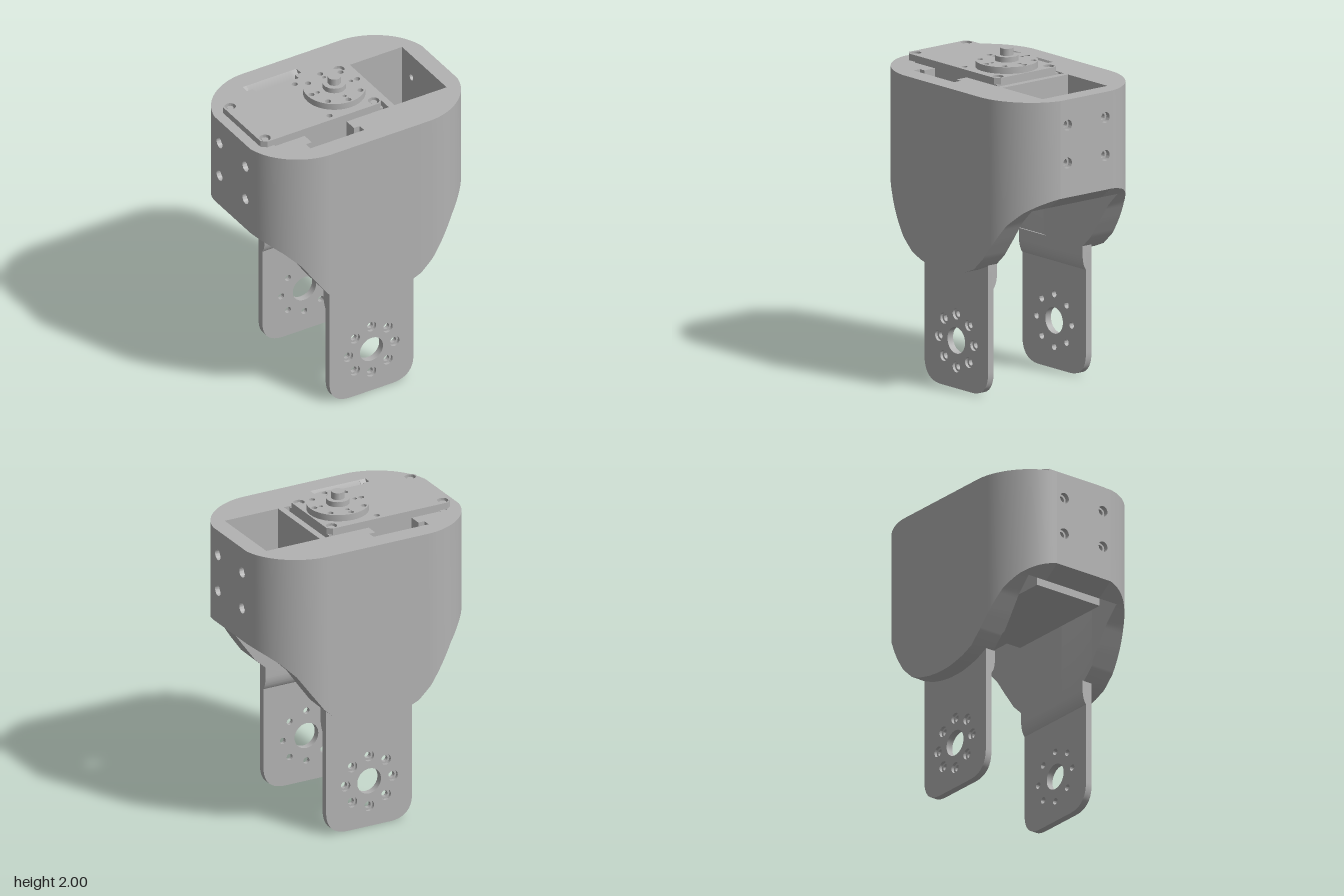
import * as THREE from 'three';
import { toCreasedNormals } from 'three/addons/utils/BufferGeometryUtils.js';

const TOP = 1.845, CEIL = 1.3, END = 0.715, INX = 0.61, INZ = 0.33;

// height of the swept lower edge of the housing at a given x
const CUT = [[0, .725], [.1, .733], [.2, .757], [.28, .79], [.36, .865], [.44, .975],
  [.52, 1.09], [.6, 1.17], [.66, 1.215], [.72, 1.255]];
function cut(x) {
  const a = Math.min(Math.abs(x), 0.72);
  let i = 0;
  while (i < CUT.length - 2 && a > CUT[i + 1][0]) i++;
  const [x0, y0] = CUT[i], [x1, y1] = CUT[i + 1];
  return y0 + (y1 - y0) * (a - x0) / (x1 - x0);
}

export function createModel() {
  const model = new THREE.Group();
  const grey = new THREE.MeshStandardMaterial({ color: 0xb2b2b2 });
  grey.name = 'grey';

  function add(name, geo, parent = model) {
    const m = new THREE.Mesh(geo, grey);
    m.name = name;
    parent.add(m);
    return m;
  }
  function box(name, x0, x1, y0, y1, z0, z1) {
    const m = add(name, new THREE.BoxGeometry(x1 - x0, y1 - y0, z1 - z0));
    m.position.set((x0 + x1) / 2, (y0 + y1) / 2, (z0 + z1) / 2);
  }
  function cylinder(name, r, y0, y1, x, z) {
    const m = add(name, toCreasedNormals(new THREE.CylinderGeometry(r, r, y1 - y0, 32), 0.6));
    m.position.set(x, (y0 + y1) / 2, z);
  }
  const hole = (shape, x, y, r) => shape.holes.push(new THREE.Path().absarc(x, y, r, 0, Math.PI * 2, true));
  const extrude = (shape, depth) => toCreasedNormals(
    new THREE.ExtrudeGeometry(shape, { depth, bevelEnabled: false, curveSegments: 20 }), 0.6);
  const ring = (n, r, f) => {
    for (let i = 0; i < n; i++) f(r * Math.cos(i * 2 * Math.PI / n), r * Math.sin(i * 2 * Math.PI / n));
  };

  // housing halves: cross-sections swept around the rounded outline
  const corner = new THREE.CubicBezierCurve(new THREE.Vector2(END, .2), new THREE.Vector2(.68, .38),
    new THREE.Vector2(.5, .5), new THREE.Vector2(.34, .5)).getPoints(24).map(p => [p.x, p.y]);
  const flat = [.28, .2, .12, .04, -.039, -.04, -.08, -.081, -.14, -.2, -.28, -.33, -.369, -.37, -.41, -.411];
  // outer z of the outline at x, used where the inner cable notch needs extra columns
  const outerZ = x => {
    const a = Math.abs(x);
    if (a <= 0.34) return 0.5;
    const i = corner.findIndex(p => p[0] <= a), [xa, za] = corner[i - 1], [xb, zb] = corner[i];
    return za + (zb - za) * (a - xa) / (xb - xa);
  };
  const outline = [...corner, ...flat.map(x => [x, outerZ(x)]),
    ...corner.map(([x, z]) => [-x, z])].sort((a, b) => b[0] - a[0]);

  function housingHalf(s) {
    const columns = outline.map(([x, z]) => {
      const xi = Math.max(-INX, Math.min(INX, x));
      const zi = Math.min(z, INZ);
      const zMid = x <= -.08 && x >= -.37 ? .34 : zi;
      const zTop = x <= -.04 && x >= -.41 ? .38 : zi;
      return [[x, TOP, z], [x, cut(x), z], [xi, cut(xi), zMid], [xi, 1.77, zMid], [xi, TOP, zTop]]
        .map(p => [p[0], p[1], s * p[2]]);
    });
    const pos = [];
    for (let i = 0; i < columns.length - 1; i++) {
      for (let k = 0; k < 5; k++) {
        const n = (k + 1) % 5;
        const q = [columns[i + 1][k], columns[i + 1][n], columns[i][n], columns[i][k]];
        if (s < 0) q.reverse();
        pos.push(...q[0], ...q[1], ...q[2], ...q[0], ...q[2], ...q[3]);
      }
    }
    const g = new THREE.BufferGeometry();
    g.setAttribute('position', new THREE.Float32BufferAttribute(pos, 3));
    g.computeVertexNormals();
    return toCreasedNormals(g, 0.5);
  }
  add('housingFront', housingHalf(1));
  add('housingBack', housingHalf(-1));

  // end walls with counterbored screw holes
  function endLayer(x0, x1, r) {
    const s = new THREE.Shape();
    s.moveTo(-.2, 1.2); s.lineTo(.2, 1.2); s.lineTo(.2, TOP); s.lineTo(-.2, TOP);
    for (const z of [-.145, .145]) for (const y of [1.46, 1.69]) hole(s, z, y, r);
    const g = extrude(s, x1 - x0).rotateY(Math.PI / 2).translate(x0, 0, 0);
    const p = g.attributes.position;
    for (let i = 0; i < p.count; i++) if (p.getY(i) < 1.3) p.setY(i, cut(p.getX(i)));
    return g;
  }
  for (const turn of [0, Math.PI]) {
    const wall = new THREE.Group();
    wall.name = turn ? 'rightEndWall' : 'leftEndWall';
    wall.rotation.y = turn;
    add('outerLayer', endLayer(.685, END, .033), wall);
    add('innerLayer', endLayer(INX, .685, .02), wall);
    model.add(wall);
  }

  // inner frame around the motor bay and the open pocket
  box('bayDivider', .21, .25, CEIL, TOP, -.25, .25);
  box('motorLedge', -INX, -.57, CEIL, 1.84, -.25, .25);
  for (const s of [-1, 1]) {
    const z0 = s > 0 ? .25 : -INZ, z1 = s > 0 ? INZ : -.25;
    box('frameRail', -INX, -.37, CEIL, TOP, z0, z1);
    box('frameRail', -.08, INX, CEIL, TOP, z0, z1);
  }

  // motor body and cover plate
  box('motorBody', -.57, .18, 1.155, 1.846, -.235, .235);
  const cover = new THREE.Shape([[-.62, -.238], [.155, -.238], [.183, -.21], [.183, .21], [.155, .238],
    [-.62, .238], [-.652, .21], [-.652, -.21]].map(p => new THREE.Vector2(...p)));
  for (const z of [-.195, .195]) {
    for (const x of [-.61, .14]) {
      hole(cover, x, z, .033);
      cylinder('coverScrew', .02, 1.84, 1.875, x, z);
    }
    hole(cover, -.165, z, .018);
  }
  add('motorCover', extrude(cover, .04).rotateX(-Math.PI / 2).translate(0, TOP, 0));

  // output disc, hub and shaft
  const disc = new THREE.Shape().absarc(0, 0, .185, 0, Math.PI * 2);
  ring(8, .158, (x, y) => hole(disc, x, y, .018));
  ring(4, .115, (x, y) => hole(disc, x, y, .013));
  add('outputDisc', extrude(disc, .04).rotateX(-Math.PI / 2).translate(-.012, 1.885, 0));
  cylinder('outputHub', .07, 1.92, 1.957, -.012, 0);
  cylinder('outputShaft', .039, 1.95, 2, -.012, 0);

  // legs with a large bearing hole and a ring of counterbored holes
  function legLayer(r, depth, z) {
    const s = new THREE.Shape();
    s.moveTo(-.29, .82);
    s.lineTo(-.29, .15);
    s.bezierCurveTo(-.29, .05, -.24, 0, -.14, 0);
    s.lineTo(.14, 0);
    s.bezierCurveTo(.24, 0, .29, .05, .29, .15);
    s.lineTo(.29, .82);
    hole(s, 0, .29, .08);
    ring(8, .16, (x, y) => hole(s, x, .29 + y, r));
    return extrude(s, depth).translate(0, 0, z);
  }
  for (const turn of [0, Math.PI]) {
    const leg = new THREE.Group();
    leg.name = turn ? 'backLeg' : 'frontLeg';
    leg.rotation.y = turn;
    add('innerLayer', legLayer(.02, .025, .355), leg);
    add('outerLayer', legLayer(.033, .018, .38), leg);
    // fillet blending the leg into the housing
    const f = new THREE.Shape();
    f.moveTo(-.33, .8);
    f.lineTo(-.33, .73);
    f.quadraticCurveTo(-.333, .68, -.356, .65);
    f.lineTo(-.37, .65);
    f.lineTo(-.37, .8);
    add('legFillet', extrude(f, .58).rotateY(Math.PI / 2).translate(-.29, 0, 0), leg);
    model.add(leg);
  }
  return model;
}
